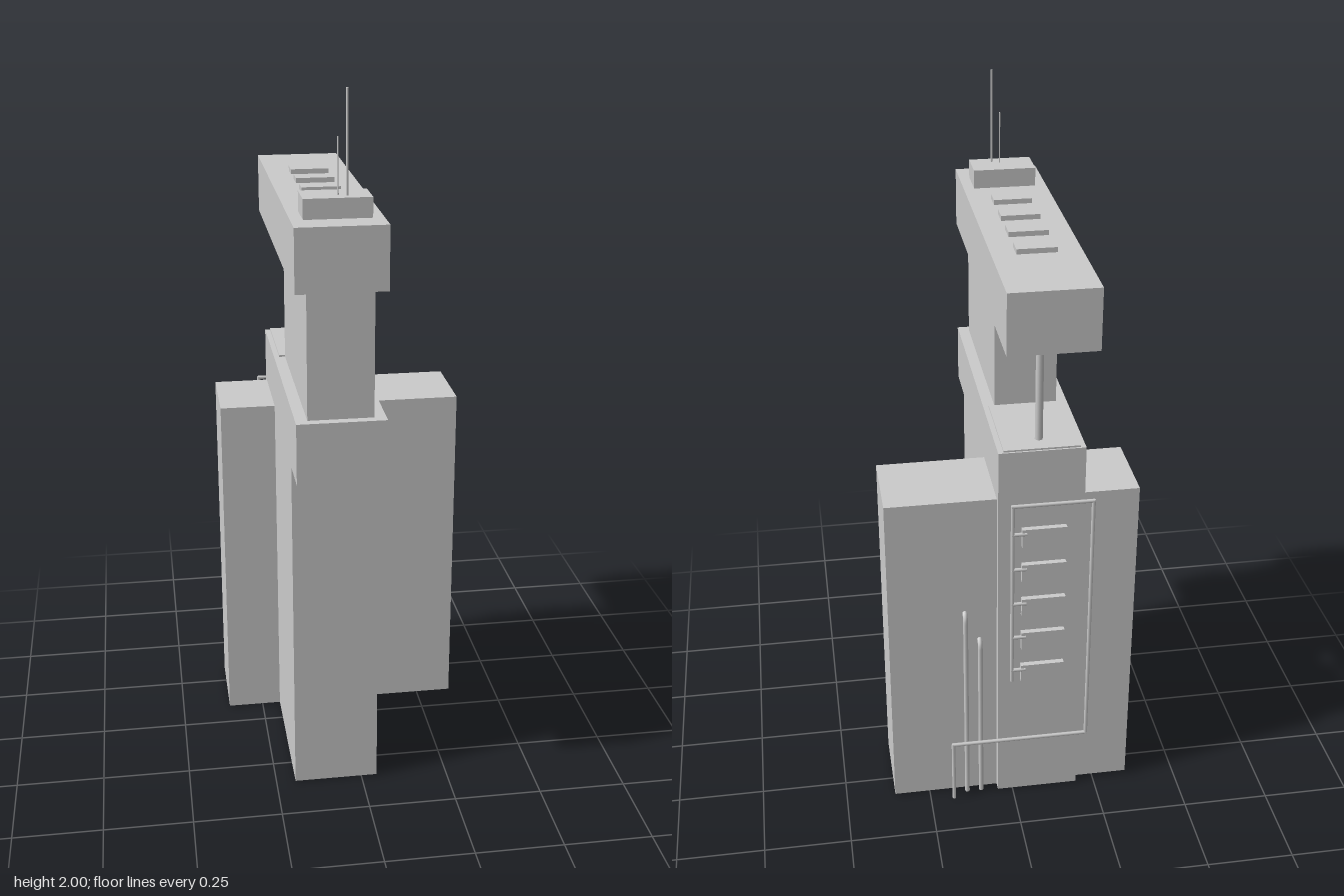
import * as THREE from 'three';

const material = new THREE.MeshStandardMaterial({ color: 0xcccccc });

export function createModel() {
  const model = new THREE.Group();

  const add = (name, geometry) => {
    const mesh = new THREE.Mesh(geometry, material);
    mesh.name = name;
    model.add(mesh);
    return mesh;
  };

  // Box given by its limits on each axis
  const box = (name, x0, x1, y0, y1, z0, z1) =>
    add(name, new THREE.BoxGeometry(x1 - x0, y1 - y0, z1 - z0))
      .position.set((x0 + x1) / 2, (y0 + y1) / 2, (z0 + z1) / 2);

  // Upright round rod
  const rod = (name, x, z, y0, y1, r) =>
    add(name, new THREE.CylinderGeometry(r, r, y1 - y0, 12))
      .position.set(x, (y0 + y1) / 2, z);

  // Square-cornered conduit through a list of [x, y] points on the back
  const conduitZ = -0.364, conduitR = 0.0055;
  const conduit = (name, points) => {
    for (let i = 1; i < points.length; i++) {
      const a = new THREE.Vector3(...points[i - 1], conduitZ);
      const b = new THREE.Vector3(...points[i], conduitZ);
      const mesh = add(name, new THREE.CylinderGeometry(conduitR, conduitR, a.distanceTo(b) + conduitR, 8));
      mesh.position.copy(a).add(b).multiplyScalar(0.5);
      if (a.y === b.y) mesh.rotation.z = Math.PI / 2;
    }
  };

  // Main tower, overhanging ledge and side wings
  box('towerShaft', -0.195, 0.045, 0, 1.165, -0.35, 0.35);
  box('frontLedge', -0.195, 0.045, 0.995, 1.165, 0.35, 0.48);
  box('rightWing', -0.355, -0.195, 0, 1.01, -0.325, -0.087);
  box('leftWing', 0.045, 0.355, 0, 1.01, -0.325, -0.087);

  // Upper storey, terrace and roof slab
  box('upperStorey', -0.163, 0.013, 1.165, 1.51, -0.077, 0.455);
  box('terraceFloor', -0.18, 0.03, 1.165, 1.17, -0.345, -0.077);
  rod('terraceColumn', -0.075, -0.29, 1.165, 1.51, 0.011);
  box('roofSlab', -0.195, 0.045, 1.51, 1.68, -0.48, 0.48);

  // Roof equipment
  for (const z of [-0.203, -0.077, 0.048, 0.178]) {
    box('roofVent', -0.128, -0.02, 1.68, 1.694, z - 0.028, z + 0.028);
  }
  box('roofHousing', -0.163, 0.015, 1.68, 1.733, 0.297, 0.4);
  rod('tallAntenna', -0.047, 0.373, 1.733, 2, 0.003);
  rod('shortAntenna', -0.069, 0.363, 1.733, 1.88, 0.002);

  // Back wall units, each fed by a short stub from the conduit
  for (let i = 0; i < 5; i++) {
    const y = 0.9 - i * 0.115;
    box('wallUnit', -0.145, -0.02, y - 0.029, y + 0.029, -0.366, -0.35);
    conduit('unitStub', [[0.007, y + 0.015], [-0.03, y + 0.015]]);
  }

  // Conduit run around the wall units and across to the ground
  conduit('conduit', [[0.007, 0.42], [0.007, 1.005], [-0.217, 1.005], [-0.217, 0.2], [0.18, 0.2], [0.18, 0]]);

  // Rising pipes that bend into the left wing
  for (const [x, top] of [[0.137, 0.65], [0.095, 0.555]]) {
    const path = new THREE.CurvePath();
    const p = (y, z) => new THREE.Vector3(x, y, z);
    path.add(new THREE.LineCurve3(p(0, -0.341), p(top - 0.03, -0.341)));
    path.add(new THREE.QuadraticBezierCurve3(p(top - 0.03, -0.341), p(top - 0.006, -0.341), p(top - 0.006, -0.32)));
    add('risingPipe', new THREE.TubeGeometry(path, 60, 0.007, 10));
  }

  return model;
}
